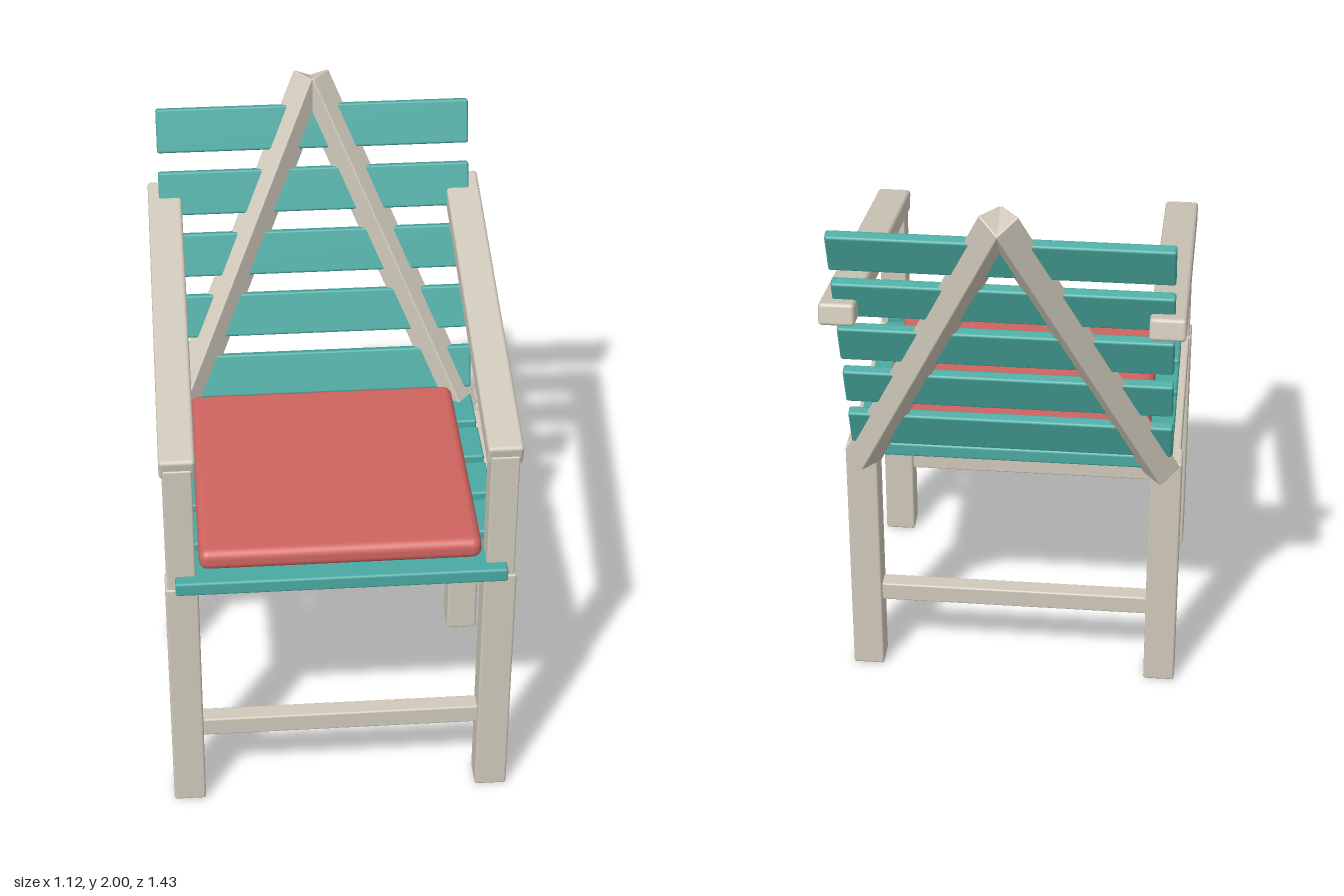
import * as THREE from 'three';
import { RoundedBoxGeometry } from 'three/addons/geometries/RoundedBoxGeometry.js';

export function createModel() {
  const mat = (name, color) => {
    const m = new THREE.MeshStandardMaterial({ color });
    m.name = name;
    return m;
  };
  const wood = mat('pale wood', 0xd0c9bb);
  const teal = mat('teal paint', 0x4aaaa2);
  const red = mat('red fabric', 0xcf645f);

  const group = new THREE.Group();

  // Softly bevelled board, given size and centre
  const board = (name, material, [w, h, d], [x, y, z], r = 0.008, seg = 2) => {
    const mesh = new THREE.Mesh(new RoundedBoxGeometry(w, h, d, seg, r), material);
    mesh.name = name;
    mesh.position.set(x, y, z);
    group.add(mesh);
    return mesh;
  };

  for (const s of [-1, 1]) {
    const side = s > 0 ? 'left' : 'right';

    // Legs, side rail, arm post
    board(side + 'FrontLeg', wood, [0.105, 0.89, 0.1], [s * 0.503, 0.445, 0.632]);
    board(side + 'BackLeg', wood, [0.105, 0.89, 0.1], [s * 0.503, 0.445, -0.19]);
    board(side + 'SideRail', wood, [0.09, 0.09, 0.76], [s * 0.503, 0.844, 0.22], 0.006);
    board(side + 'ArmPost', wood, [0.09, 0.47, 0.09], [s * 0.503, 1.11, 0.632], 0.006);

    // Sloping armrest
    const arm = board(side + 'Armrest', wood, [0.112, 0.072, 1.3], [s * 0.503, 1.474, 0.036], 0.012);
    arm.rotation.x = 0.201;

    // Back brace leaning inward and backward to the peak
    const foot = new THREE.Vector3(s * 0.492, 0.877, -0.259);
    const peak = new THREE.Vector3(0, 1.978, -0.656);
    const axis = peak.clone().sub(foot);
    const centre = foot.clone().add(peak).multiplyScalar(0.5);
    const brace = board(side + 'BackBrace', wood, [0.09, 0.09, axis.length()], centre.toArray(), 0.005);
    brace.lookAt(peak);
  }

  // Stretchers between the legs
  board('frontStretcher', wood, [0.92, 0.066, 0.06], [0, 0.295, 0.632], 0.006);
  board('backStretcher', wood, [0.92, 0.066, 0.06], [0, 0.295, -0.19], 0.006);

  // Seat and back slats
  for (let i = 0; i < 5; i++) {
    board('seatSlat', teal, [1.045, 0.048, 0.174], [0, 0.916, 0.63 - i * 0.205]);
    const back = board('backSlat', teal, [1.045, 0.147, 0.036],
      [0, 1.03 + i * 0.199, -0.31 - i * 0.072]);
    back.rotation.x = -0.348;
  }

  // Seat cushion
  board('cushion', red, [0.892, 0.073, 0.89], [0, 0.975, 0.215], 0.03, 4);

  return group;
}
